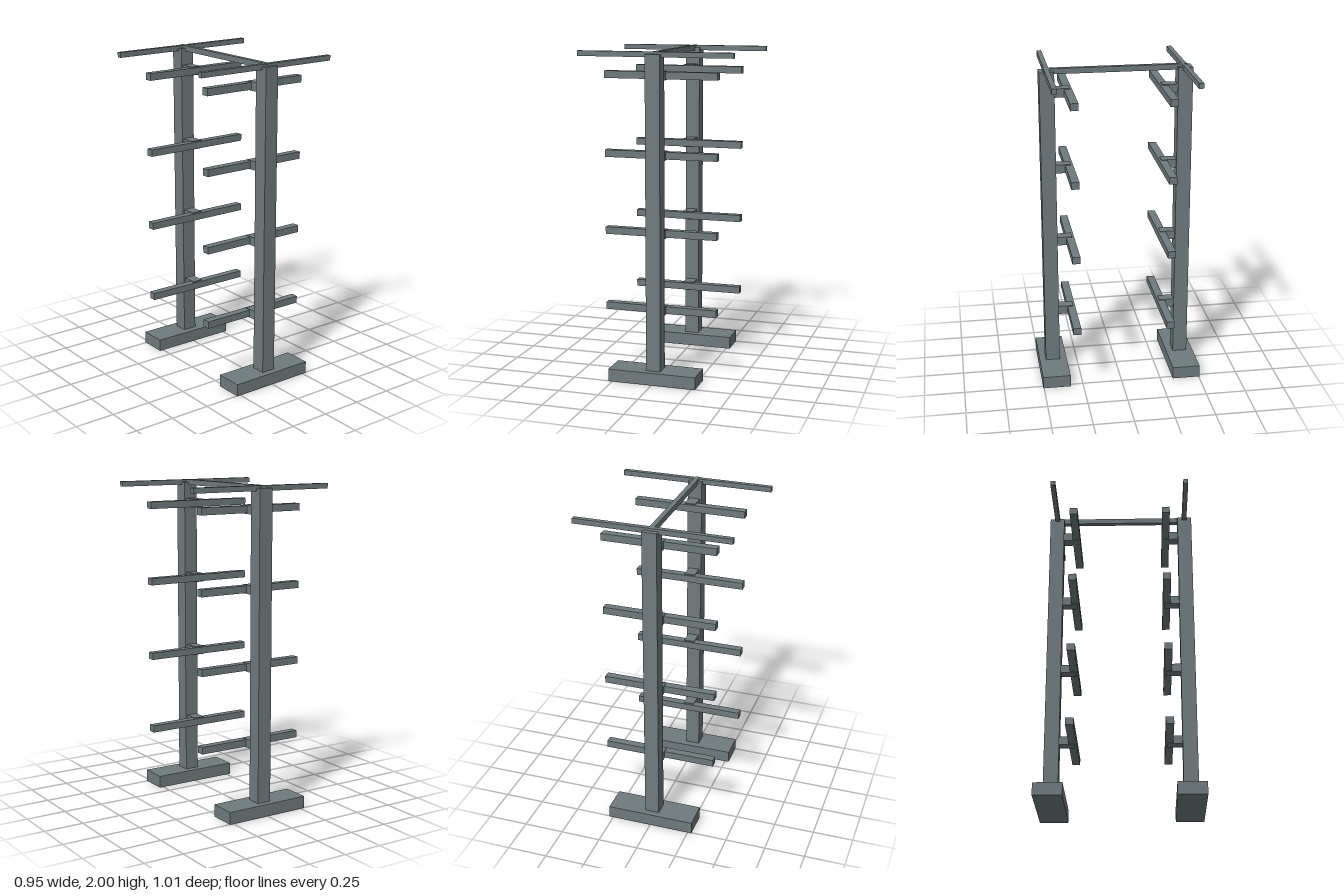
import * as THREE from 'three';

export function createModel() {
  const group = new THREE.Group();
  const steel = new THREE.MeshStandardMaterial({ color: 0x6f7a7d });
  steel.name = 'grey steel';

  // Box given by its extents along each axis
  function box(parent, name, [x0, x1], [y0, y1], [z0, z1]) {
    const mesh = new THREE.Mesh(new THREE.BoxGeometry(x1 - x0, y1 - y0, z1 - z0), steel);
    mesh.position.set((x0 + x1) / 2, (y0 + y1) / 2, (z0 + z1) / 2);
    mesh.name = name;
    parent.add(mesh);
  }

  // One upright frame with its foot, post, inward rails and top bar
  function buildFrame(name) {
    const frame = new THREE.Group();
    frame.name = name;
    box(frame, 'foot', [-0.275, 0.275], [0, 0.077], [0.33, 0.505]);
    box(frame, 'post', [-0.045, 0.045], [0.077, 1.985], [0.374, 0.465]);
    box(frame, 'topBar', [-0.477, 0.477], [1.967, 1.999], [0.403, 0.433]);
    for (let i = 0; i < 4; i++) {
      const y = 0.423 + i * 0.477;
      box(frame, 'bracket', [-0.034, 0.034], [y - 0.027, y + 0.027], [0.281, 0.374]);
      box(frame, 'rail', [-0.352, 0.352], [y - 0.022, y + 0.022], [0.268, 0.317]);
    }
    return frame;
  }

  const front = buildFrame('frontFrame');
  const back = buildFrame('backFrame');
  back.rotation.y = Math.PI;
  group.add(front, back);

  // Beam tying the two frames together
  box(group, 'tieBeam', [-0.015, 0.015], [1.966, 2], [-0.438, 0.438]);
  return group;
}
